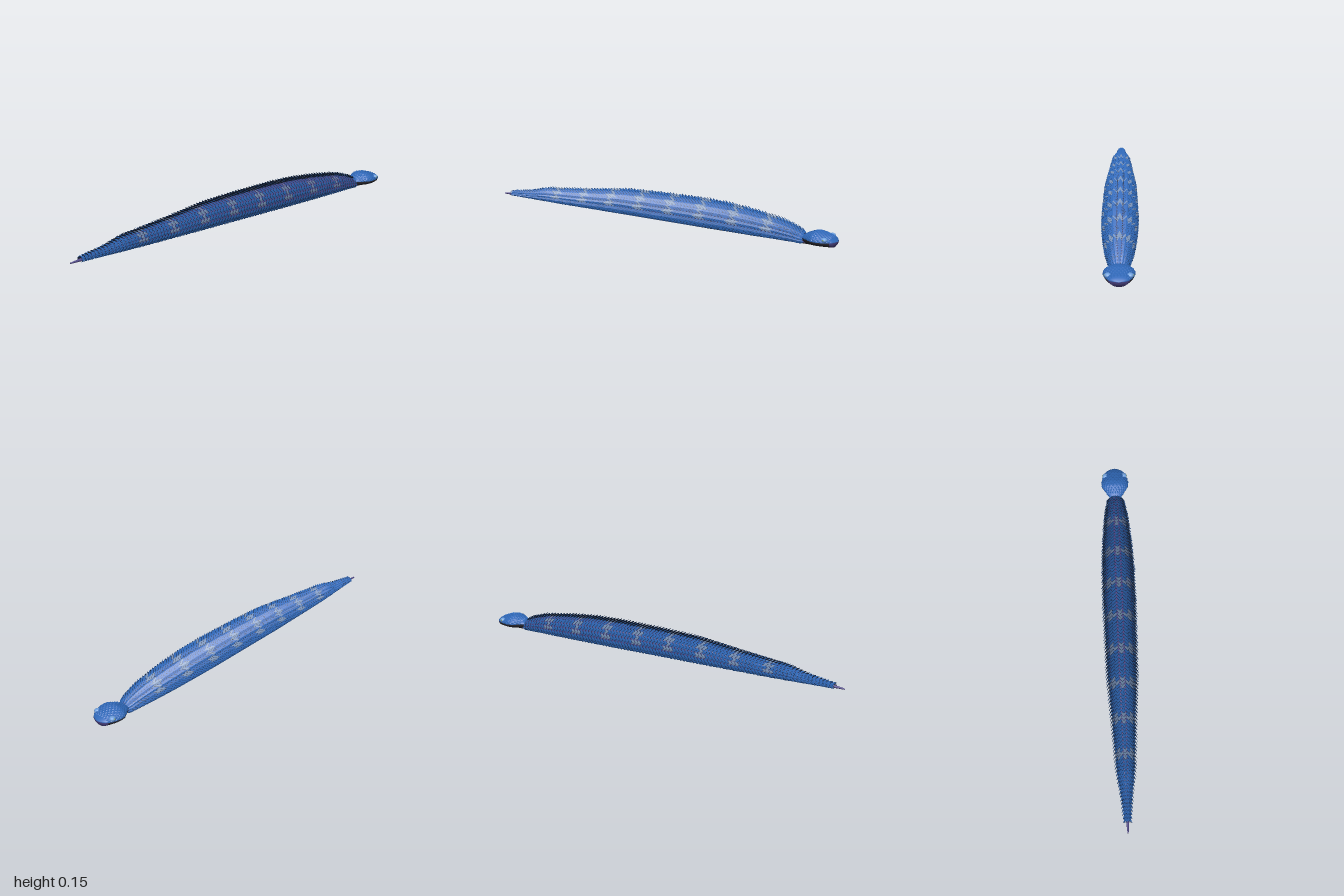
import * as THREE from 'three';

const mat = (name, color) => {
  const m = new THREE.MeshStandardMaterial({ color, side: THREE.DoubleSide });
  m.name = name;
  return m;
};

// stations: x, half width, height
const BODY = [
  [-1, 0.003, 0.006], [-0.9, 0.011, 0.02], [-0.8, 0.02, 0.034], [-0.7, 0.034, 0.058],
  [-0.6, 0.04, 0.066], [-0.4, 0.05, 0.087], [-0.2, 0.061, 0.111], [0, 0.064, 0.119],
  [0.25, 0.067, 0.123], [0.4, 0.065, 0.12], [0.55, 0.059, 0.107], [0.7, 0.048, 0.088],
  [0.78, 0.037, 0.066], [0.83, 0.028, 0.042], [0.87, 0.025, 0.035],
];
// stations: x, half width, crown height above the jaw line
const HEAD = [
  [0.82, 0.027, 0.01], [0.86, 0.052, 0.027], [0.885, 0.069, 0.037], [0.91, 0.072, 0.037],
  [0.94, 0.066, 0.029], [0.97, 0.053, 0.02], [0.985, 0.041, 0.013], [0.996, 0.02, 0.005],
  [1, 0.001, 0.001],
];

function sample(stations, x) {
  let i = 0;
  while (i < stations.length - 2 && x > stations[i + 1][0]) i++;
  const [a, b] = [stations[i], stations[i + 1]];
  const t = THREE.MathUtils.clamp((x - a[0]) / (b[0] - a[0]), 0, 1);
  return [THREE.MathUtils.lerp(a[1], b[1], t), THREE.MathUtils.lerp(a[2], b[2], t)];
}

// surface point at x and angle a (0 = left side, PI / 2 = top)
function bodyPoint(x, a) {
  const [w, h] = sample(BODY, x);
  const c = Math.cos(a), s = Math.sin(a);
  return new THREE.Vector3(x, 0.003 + 0.32 * h + (s > 0 ? 0.68 : 0.32) * h * s,
    w * Math.sign(c) * Math.abs(c) ** 0.8);
}
function headPoint(x, a) {
  const [w, h] = sample(HEAD, x);
  const s = Math.sin(a);
  return new THREE.Vector3(x, 0.036 + (s > 0 ? h : Math.min(0.03, w * 0.7)) * s, w * Math.cos(a));
}

// smooth skin through cross-sections between two angles
function loft(point, x0, x1, rows, a0, a1, cols) {
  const pos = [], index = [];
  for (let i = 0; i <= rows; i++)
    for (let j = 0; j <= cols; j++)
      pos.push(...point(x0 + (x1 - x0) * i / rows, a0 + (a1 - a0) * j / cols).toArray());
  for (let i = 0; i < rows; i++)
    for (let j = 0; j < cols; j++) {
      const k = i * (cols + 1) + j, n = k + cols + 1;
      index.push(k, n, k + 1, n, n + 1, k + 1);
    }
  const g = new THREE.BufferGeometry();
  g.setAttribute('position', new THREE.Float32BufferAttribute(pos, 3));
  g.setIndex(index);
  g.computeVertexNormals();
  return g;
}

// one keeled, pointed scale leaning backwards, as four triangles
function addScale(out, point, x, a, len, width, lift, sink) {
  const root = point(x, a);
  const t = point(x, a + 0.05).sub(point(x, a - 0.05)).normalize();
  const n = t.clone().cross(new THREE.Vector3(-1, 0, 0)).normalize();
  const end = point(Math.max(x - len, -0.997), a);
  const at = (f, side, up) => root.clone().lerp(end, f)
    .addScaledVector(t, side * width / 2).addScaledVector(n, up - sink);
  const r = at(0, 0, 0.001), l = at(0.45, -1, lift * 0.4), q = at(0.45, 1, lift * 0.4);
  const keel = at(0.45, 0, lift * 0.4 + 0.003), tip = at(1, 0, lift);
  for (const p of [r, keel, l, r, q, keel, keel, tip, l, keel, q, tip]) out.push(p.x, p.y, p.z);
}

function facets(pos) {
  const g = new THREE.BufferGeometry();
  g.setAttribute('position', new THREE.Float32BufferAttribute(pos, 3));
  g.computeVertexNormals();
  return g;
}

export function createModel() {
  const group = new THREE.Group();
  const blue = mat('scaleBlue', 0x2f68b8);
  const pale = mat('bandGreyBlue', 0x7690b6);
  const dark = mat('bellyBlack', 0x2c2a32);
  const edge = mat('scaleEdgeNavy', 0x16233c);
  const purple = mat('mouthPurple', 0x4a4282);
  const eyeBlue = mat('eyePaleBlue', 0x70a0dc);
  const green = mat('pupilGreen', 0x7a9f70);
  const add = (name, geometry, material) => {
    const m = new THREE.Mesh(geometry, material);
    m.name = name;
    group.add(m);
    return m;
  };

  // purple skin under the scales, dark belly below
  const low = 0.2;
  add('backSkin', loft(bodyPoint, -1, 0.87, 80, -low, Math.PI + low, 28), purple);
  add('belly', loft(bodyPoint, -1, 0.87, 80, Math.PI + low, Math.PI * 2 - low, 20), dark);

  // rows of raised body scales, with chequered paler bands over the back
  const blues = [], pales = [], edges = [];
  const step = 0.3;
  for (let r = 0; r < 98; r++) {
    const x = 0.835 - r * 0.0181;
    const k = sample(BODY, x)[0] / 0.067;
    const band = (r + 2) % 10;
    for (let j = -6; j <= 6; j++) {
      const a = Math.PI / 2 + j * step, side = Math.abs(j);
      const isPale = side < 5 && r > 5 && r < 86 && (band === 1 || (band < 3 && j % 2 === 0));
      const len = 0.028 + 0.015 * k, width = 0.006 + 0.024 * k;
      const lift = (0.014 + 0.014 * k) * (side === 6 ? 0.55 : 1);
      addScale(isPale ? pales : blues, bodyPoint, x, a, len, width, lift, 0);
      addScale(edges, bodyPoint, x, a, len * 1.04, width * 1.08, lift, 0.0012);
    }
  }
  add('bodyScales', facets(blues), blue);
  add('bandScales', facets(pales), pale);
  add('scaleEdges', facets(edges), edge);

  // head: blue crown, dark jaw, purple mouth at the blunt front
  add('headCrown', loft(headPoint, 0.82, 1, 36, 0, Math.PI, 24), blue);
  add('jaw', loft(headPoint, 0.82, 0.974, 28, Math.PI, Math.PI * 2, 24), dark);
  add('mouth', loft(headPoint, 0.974, 1, 16, Math.PI, Math.PI * 2, 24), purple);

  // small flat scales on the crown
  const crown = [];
  for (let r = 0; r < 12; r++)
    for (let j = 0; j < 10 + r % 2; j++) {
      const x = 0.98 - r * 0.0115;
      const a = (j + (r % 2 ? 0.5 : 1)) * Math.PI / 11;
      addScale(crown, headPoint, x, a, 0.017, sample(HEAD, x)[0] * 0.2, 0.003, 0);
    }
  add('crownScales', facets(crown), blue);

  // eyes
  for (const side of [1, -1]) {
    const eye = add(side > 0 ? 'leftEye' : 'rightEye', new THREE.SphereGeometry(1, 20, 14), eyeBlue);
    eye.scale.set(0.016, 0.012, 0.016);
    eye.position.set(0.95, 0.048, side * 0.05);
    const pupil = add(side > 0 ? 'leftPupil' : 'rightPupil', new THREE.SphereGeometry(0.004, 12, 8), green);
    pupil.position.set(0.95, 0.05, side * 0.064);
  }
  return group;
}
